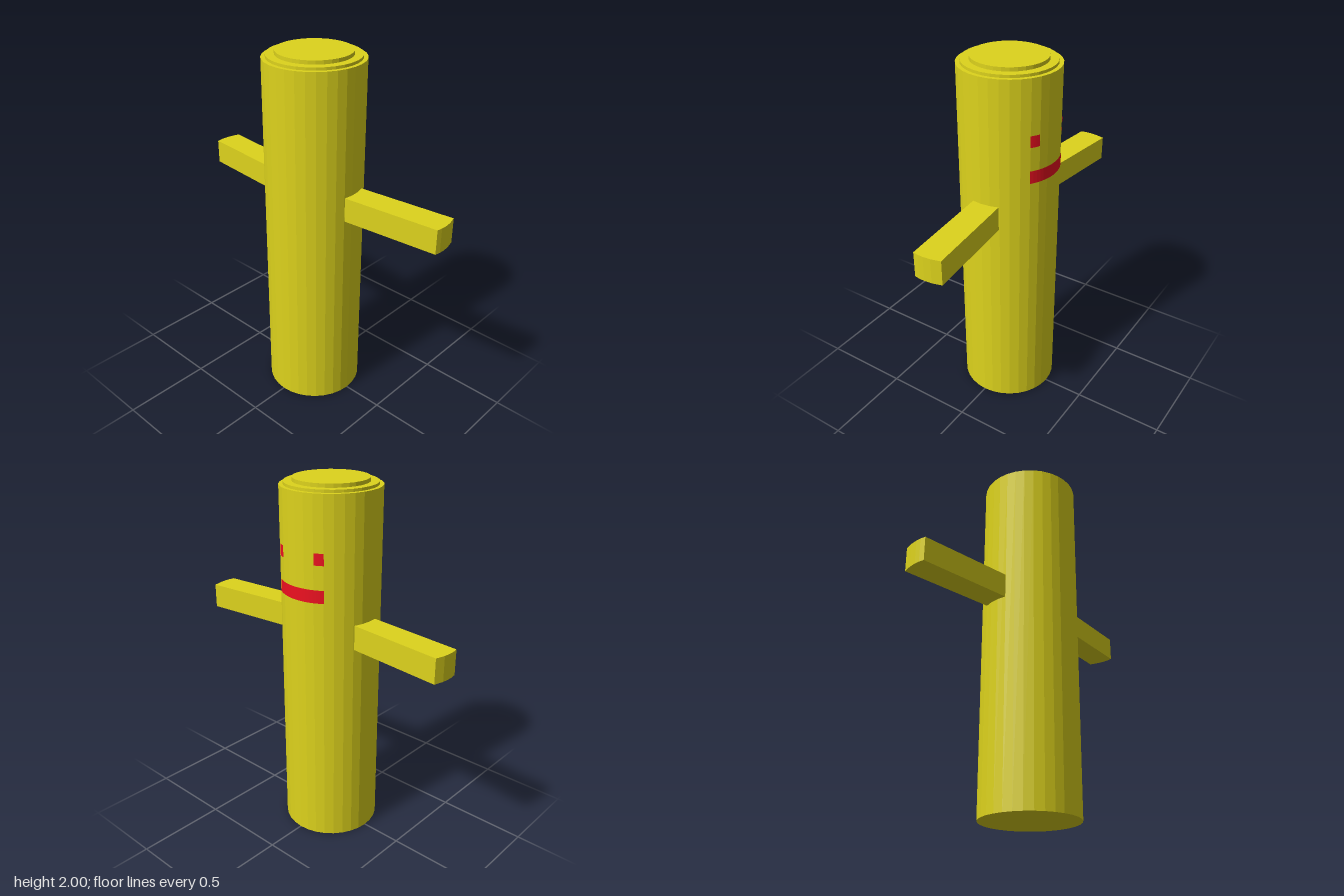
import * as THREE from 'three';

const yellow = new THREE.MeshStandardMaterial({ color: 0xddd31c, flatShading: true });
const red = new THREE.MeshStandardMaterial({ color: 0xee1020, flatShading: true, side: THREE.DoubleSide });
const R = 0.267;

export function createModel() {
  const model = new THREE.Group();
  const add = (name, geometry, material, y = 0) => {
    const mesh = new THREE.Mesh(geometry, material);
    mesh.name = name;
    mesh.position.y = y;
    model.add(mesh);
  };

  // Upright post with two shallow steps on top
  const tier = (name, r, y0, y1) =>
    add(name, new THREE.CylinderGeometry(r, r, y1 - y0, 32), yellow, (y0 + y1) / 2);
  tier('body', R, 0, 1.965);
  tier('lowerCap', 0.245, 1.965, 1.98);
  tier('upperCap', 0.2, 1.98, 2);

  // Arms: plan outline with a rounded tip, leaning toward the face (+x)
  for (const [name, s] of [['rightArm', 1], ['leftArm', -1]]) {
    const plan = [[-0.056, 0.2], [0, 0.8], [0.03, 0.805], [0.06, 0.806],
      [0.1, 0.802], [0.153, 0.788], [0.093, 0.2]];
    const shape = new THREE.Shape(plan.map(([x, z]) => new THREE.Vector2(x, -s * z)));
    const arm = new THREE.ExtrudeGeometry(shape, { depth: 0.135, bevelEnabled: false });
    arm.rotateX(-Math.PI / 2);
    add(name, arm, yellow, 1.152);
  }

  // Face: curved patches wrapped on the +x side, spanning z from za down to zb
  const patch = (name, za, zb, y0, y1) => {
    const a = Math.acos(za / R), b = Math.acos(zb / R);
    const r = R + 0.0015;
    add(name, new THREE.CylinderGeometry(r, r, y1 - y0, 16, 1, true, a, b - a), red, (y0 + y1) / 2);
  };
  patch('rightEye', 0.15, 0.105, 1.612, 1.674);
  patch('leftEye', -0.105, -0.15, 1.612, 1.674);
  patch('mouth', 0.15, -0.15, 1.415, 1.484);

  return model;
}
